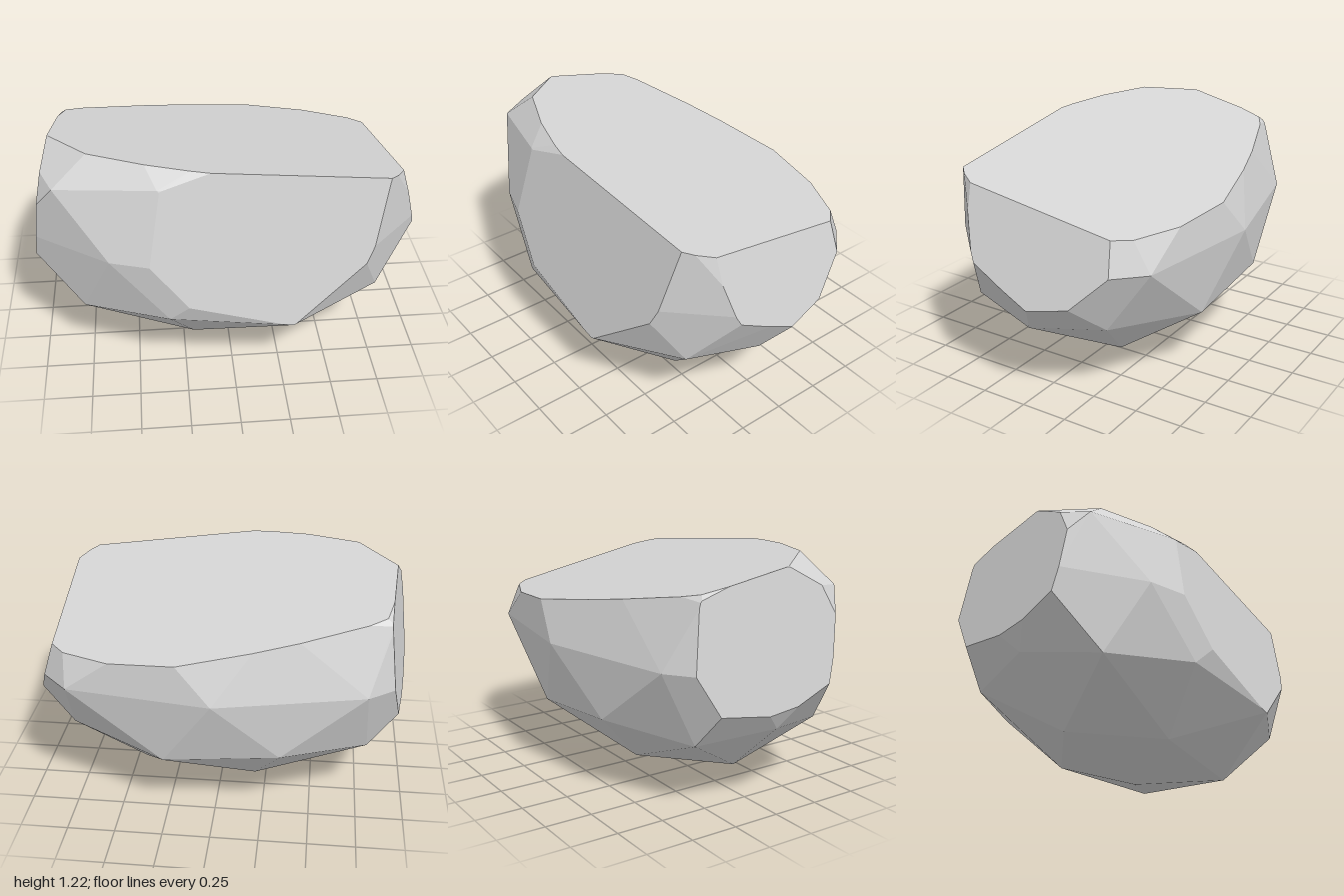
import * as THREE from 'three';
import { ConvexGeometry } from 'three/addons/geometries/ConvexGeometry.js';

// Rough boulder before chipping: horizontal rings of [x, z] points at height y
const RINGS = [
  { y: 0, pts: [[-0.01, 0.05]] },
  { y: 0.112, pts: [[0.49, 0.29], [-0.2, 0.4], [-0.59, 0.05], [-0.2, -0.3], [0.42, -0.2]] },
  { y: 0.355, pts: [[0.3, 0.69], [-0.77, 0.43], [-0.79, -0.34], [0.26, -0.59], [0.87, 0.05]] },
  { y: 0.41, pts: [[0.77, 0.445], [-0.33, 0.655], [-0.925, 0.05], [-0.34, -0.59], [0.775, -0.35]] },
  { y: 0.742, pts: [[1.02, 0.26], [0.64, 0.65], [0, 0.79], [-0.62, 0.6], [-1.12, 0.25],
    [-1.12, -0.26], [-0.77, -0.52], [0, -0.69], [0.75, -0.58], [1.17, -0.16]] },
  { y: 1.074, pts: [[1.06, 0.02], [0.29, 0.69], [-0.88, 0.43], [-0.88, -0.37], [0.3, -0.62]] },
  { y: 1.13, pts: [[0.8, 0.48], [-0.37, 0.572], [-1.05, 0.05], [-0.3, -0.51], [0.79, -0.38]] },
  { y: 1.375, pts: [[0.57, 0.05], [0.17, 0.42], [-0.53, 0.28], [-0.53, -0.18], [0.17, -0.32]] },
  { y: 1.484, pts: [[0, 0.05]] },
];

// Flat chips: everything where normal . p > limit is cut away
const CUTS = [
  { normal: [0.107, 1, -0.19], limit: 1.0815 },   // sloping top
  { normal: [0.077, 0.206, 1], limit: 0.781 },    // front
  { normal: [1, 0.305, -0.104], limit: 1.163 },   // +x side
  { normal: [-1, 0.126, -0.115], limit: 1.0475 }, // -x side
];

// Slice a convex solid with a plane and close it again
function chip(geometry, { normal, limit }) {
  const n = new THREE.Vector3(...normal);
  const pos = geometry.attributes.position;
  const kept = new Map();
  const keep = (p) => kept.set(p.toArray().map((v) => Math.round(v * 1e4)).join(), p);
  for (let i = 0; i < pos.count; i += 3) {
    const tri = [0, 1, 2].map((k) => new THREE.Vector3().fromBufferAttribute(pos, i + k));
    tri.forEach((a, k) => {
      const b = tri[(k + 1) % 3];
      const da = n.dot(a) - limit;
      const db = n.dot(b) - limit;
      if (da <= 0) keep(a);
      if (da * db < 0) keep(a.clone().lerp(b, da / (da - db)));
    });
  }
  return new ConvexGeometry([...kept.values()]);
}

export function createModel() {
  const group = new THREE.Group();
  group.name = 'rock';
  const stone = new THREE.MeshStandardMaterial({ color: 0xd4d4d4 });
  stone.name = 'grey stone';

  const points = RINGS.flatMap(({ y, pts }) => pts.map(([x, z]) => new THREE.Vector3(x, y, z)));
  const boulder = new THREE.Mesh(CUTS.reduce(chip, new ConvexGeometry(points)), stone);
  boulder.name = 'boulder';
  group.add(boulder);
  return group;
}
